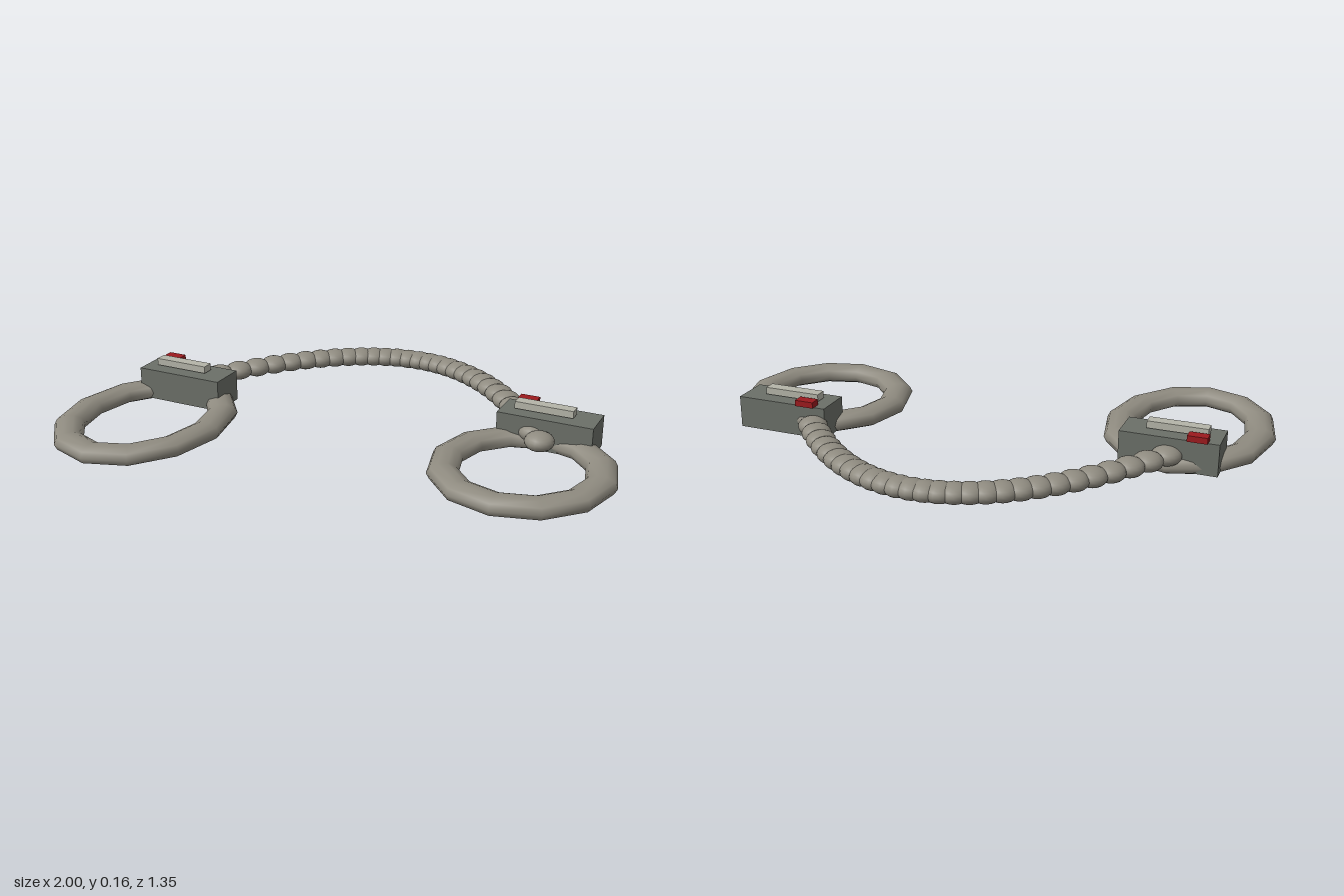
import * as THREE from 'three';

const mat = (color) => new THREE.MeshStandardMaterial({ color });

const TUBE = 0.055;   // tube radius in plan
const SQUASH = 0.64;  // tubes and beads are flattened vertically

export function createModel() {
  const root = new THREE.Group();
  const steel = mat(0x8f8b80), dark = mat(0x6b6f68), pale = mat(0xb4b4a8), red = mat(0x9c1a1e);

  const add = (parent, name, geometry, material, x, y, z) => {
    const mesh = new THREE.Mesh(geometry, material);
    mesh.name = name;
    mesh.position.set(x, y, z);
    parent.add(mesh);
    return mesh;
  };

  // Oval ring: a 12-sided torus whose centre line is pushed out to an ellipse
  const ovalRing = (rx, rz) => {
    const g = new THREE.TorusGeometry(1, TUBE, 10, 12);
    const p = g.attributes.position;
    for (let i = 0; i < p.count; i++) {
      const a = Math.atan2(p.getY(i), p.getX(i));
      p.setX(i, p.getX(i) + Math.cos(a) * (rx - 1));
      p.setY(i, p.getY(i) + Math.sin(a) * (rz - 1));
    }
    g.rotateX(Math.PI / 2);
    g.scale(1, SQUASH, 1);
    return g;
  };

  // One cuff: ring, lock housing, top plate and release catch
  const cuff = (name, x, z, rx, rz, ringZ) => {
    const group = new THREE.Group();
    group.name = name;
    group.position.set(x, 0, z);
    add(group, 'ring', ovalRing(rx, rz), steel, 0, 0.035, ringZ);
    add(group, 'lockHousing', new THREE.BoxGeometry(0.345, 0.116, 0.136), dark, 0, 0.073, 0);
    add(group, 'topPlate', new THREE.BoxGeometry(0.212, 0.026, 0.043), pale, -0.018, 0.149, 0);
    add(group, 'releaseCatch', new THREE.BoxGeometry(0.07, 0.022, 0.04), red, -0.098, 0.142, -0.058);
    root.add(group);
  };
  cuff('rightCuff', -0.692, 0.005, 0.253, 0.333, 0.28);
  cuff('leftCuff', 0.677, -0.191, 0.266, 0.275, 0.281);

  // Linking chain: overlapping flattened beads evenly stepped along a bowed curve
  const chain = new THREE.Group();
  chain.name = 'chain';
  const path = new THREE.QuadraticBezierCurve3(
    new THREE.Vector3(-0.69, 0.07, -0.07),
    new THREE.Vector3(-0.005, 0.07, -1.175),
    new THREE.Vector3(0.677, 0.07, -0.08)
  );
  const bead = new THREE.SphereGeometry(0.053, 16, 12);
  bead.scale(1, SQUASH, 1);
  const count = 31;
  for (let i = 0; i < count; i++) {
    const p = path.getPoint(i / (count - 1));
    add(chain, 'bead', bead, steel, p.x, p.y, p.z);
  }
  root.add(chain);

  return root;
}
